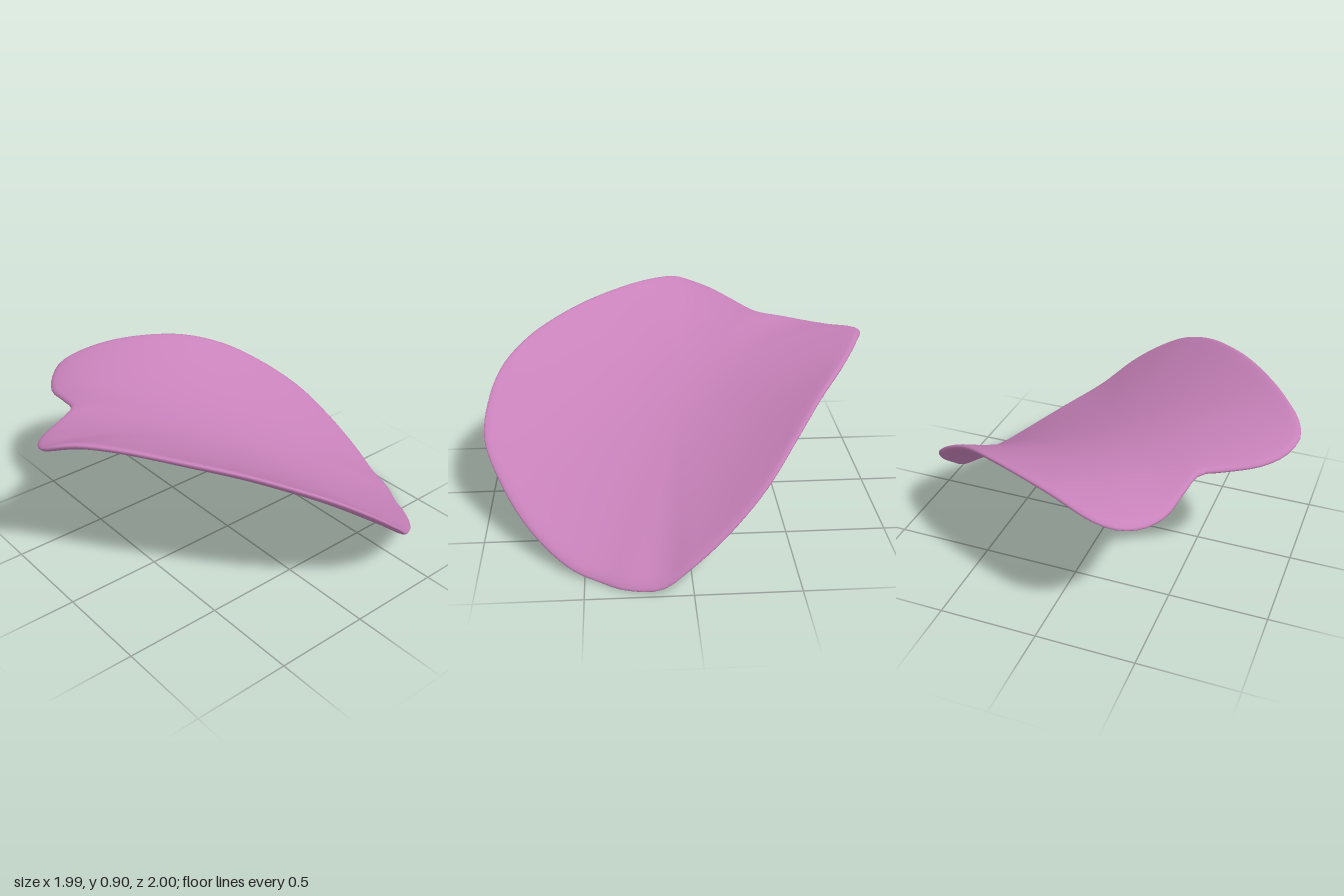
import * as THREE from 'three';
import { mergeVertices } from 'three/addons/utils/BufferGeometryUtils.js';

// Rim of the petal: back lobe, right side, curled tip, left side, left lobe, notch
const RIM = [
  [-0.3, 0.76, -1], [-0.06, 0.805, -0.93], [0.27, 0.795, -0.78], [0.48, 0.73, -0.64],
  [0.65, 0.62, -0.51], [0.83, 0.45, -0.34], [0.93, 0.28, -0.16], [0.98, 0.13, 0.02],
  [0.988, 0.035, 0.15], [0.945, 0.012, 0.32], [0.88, 0.014, 0.43], [0.8, 0.04, 0.57],
  [0.62, 0.14, 0.76], [0.4, 0.28, 0.91], [0.22, 0.44, 0.995], [0.03, 0.59, 0.975],
  [-0.12, 0.69, 0.915], [-0.29, 0.775, 0.79], [-0.44, 0.83, 0.64], [-0.61, 0.87, 0.45],
  [-0.81, 0.895, 0.18], [-0.92, 0.885, 0.02], [-0.97, 0.865, -0.05], [-1, 0.825, -0.14],
  [-0.96, 0.79, -0.25], [-0.87, 0.765, -0.34], [-0.72, 0.755, -0.43], [-0.625, 0.755, -0.49],
  [-0.59, 0.735, -0.64], [-0.56, 0.71, -0.79], [-0.49, 0.71, -0.91], [-0.4, 0.735, -0.985],
];

// Cupped, twisted sheet: u runs from notch to tip, v runs across
function sheet(x, z) {
  const u = (x + z) / Math.SQRT2, v = (x - z) / Math.SQRT2;
  return 0.57 - 0.41 * u - 0.14 * u * u - 0.13 * v + 0.4 * v * v - 0.25 * u * v;
}

function petalGeometry() {
  const around = 128, steps = 24, half = 0.018;
  const curve = new THREE.CatmullRomCurve3(RIM.map(p => new THREE.Vector3(...p)), true);
  const rim = curve.getSpacedPoints(around).slice(0, around);

  // Rings go out over the top, round the rim, and back underneath
  const top = [];
  for (let i = 0; i <= steps; i++) top.push([0.965 * i / steps, half]);
  top.push([0.985, half * 0.8], [0.997, half * 0.4]);
  const under = top.map(([t, h]) => [t, -h]).reverse();
  const rings = [...top, [1, 0], ...under];

  const pos = [], index = [];
  for (const [t, h] of rings) {
    for (const p of rim) {
      const x = p.x * t, z = p.z * t;
      pos.push(x, sheet(x, z) + t ** 3 * (p.y - sheet(p.x, p.z)) + h, z);
    }
  }
  for (let j = 0; j < rings.length - 1; j++) {
    for (let i = 0; i < around; i++) {
      const n = (i + 1) % around;
      const a = j * around + i, b = j * around + n;
      const c = b + around, d = a + around;
      if (j > 0) index.push(a, b, c);
      if (j < rings.length - 2) index.push(a, c, d);
    }
  }
  let geo = new THREE.BufferGeometry();
  geo.setAttribute('position', new THREE.Float32BufferAttribute(pos, 3));
  geo.setIndex(index);
  geo = mergeVertices(geo, 1e-5);
  geo.computeVertexNormals();

  // Stand on the ground
  geo.computeBoundingBox();
  geo.translate(0, -geo.boundingBox.min.y, 0);
  return geo;
}

export function createModel() {
  const group = new THREE.Group();
  const material = new THREE.MeshStandardMaterial({ color: 0xc882ba });
  const petal = new THREE.Mesh(petalGeometry(), material);
  petal.name = 'petal';
  group.add(petal);
  return group;
}
